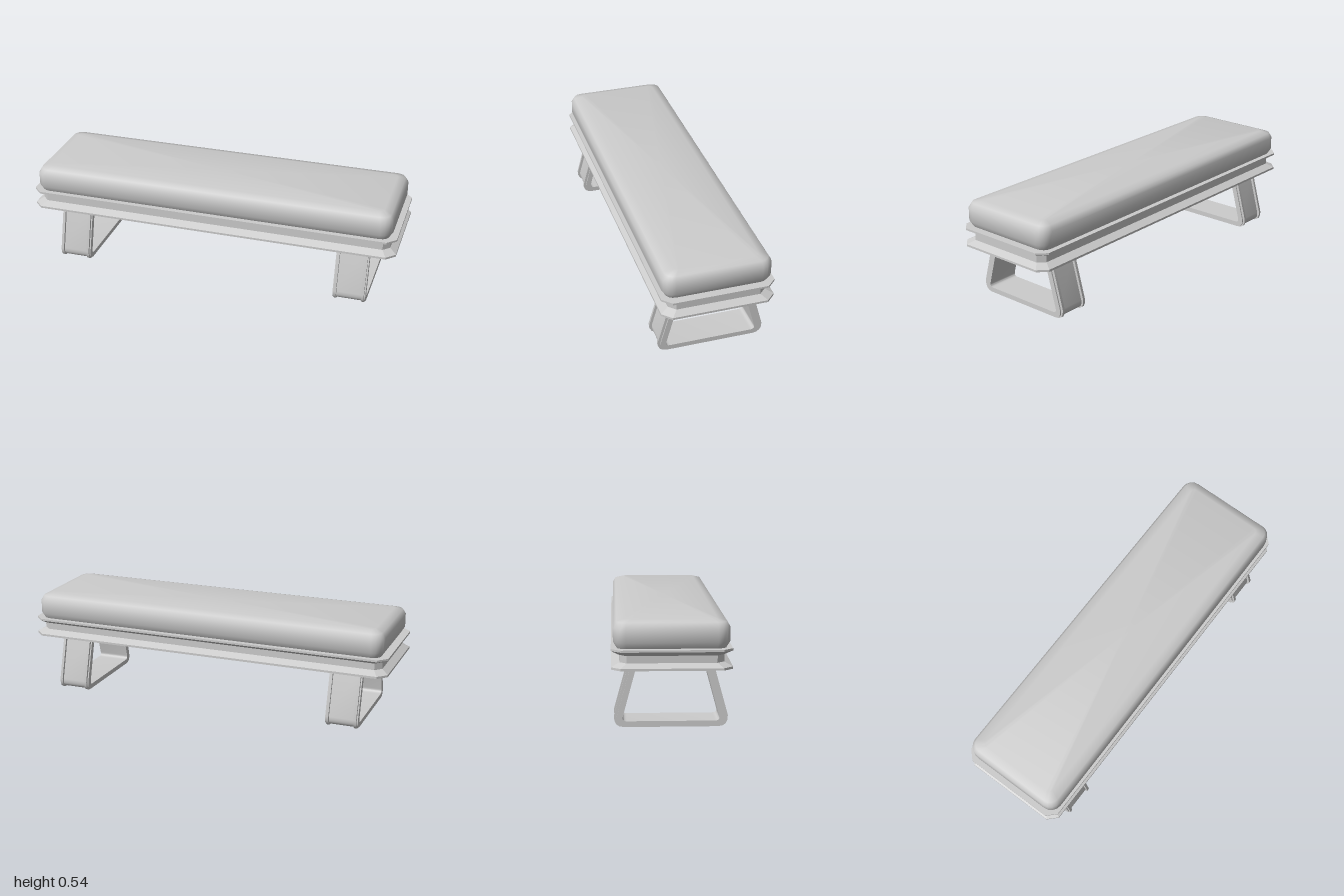
import * as THREE from 'three';
import { toCreasedNormals } from 'three/addons/utils/BufferGeometryUtils.js';

const material = new THREE.MeshStandardMaterial({ color: 0xcccccc });

function addMesh(parent, name, geometry) {
  const mesh = new THREE.Mesh(geometry, material);
  mesh.name = name;
  parent.add(mesh);
  return mesh;
}

// Stack of rounded rectangles; each level is [y, halfX, halfZ, cornerRadius]
function loftRectangles(levels, cornerSegments, crease) {
  const positions = [], index = [];
  const count = 4 * (cornerSegments + 1);
  for (const [y, hx, hz, r] of levels) {
    for (let corner = 0; corner < 4; corner++) {
      const sx = corner === 0 || corner === 3 ? 1 : -1;
      const sz = corner < 2 ? 1 : -1;
      for (let k = 0; k <= cornerSegments; k++) {
        const a = (corner + k / cornerSegments) * Math.PI / 2;
        positions.push(sx * (hx - r) + r * Math.cos(a), y, sz * (hz - r) + r * Math.sin(a));
      }
    }
  }
  const last = (levels.length - 1) * count;
  const bottom = levels.length * count, top = bottom + 1;
  positions.push(0, levels[0][0], 0, 0, levels[levels.length - 1][0], 0);
  for (let j = 0; j < count; j++) {
    const n = (j + 1) % count;
    for (let i = 0; i < last; i += count) {
      index.push(i + j, i + count + j, i + n, i + n, i + count + j, i + count + n);
    }
    index.push(bottom, j, n, top, last + n, last + j);
  }
  const geometry = new THREE.BufferGeometry();
  geometry.setAttribute('position', new THREE.Float32BufferAttribute(positions, 3));
  geometry.setIndex(index);
  return toCreasedNormals(geometry, crease);
}

// Half of a leg outline: straight side, rounded lower corner, flat foot
function legLine(topZ, sideZ, sideY, cornerZ, footZ, footY, segments) {
  const curve = new THREE.QuadraticBezierCurve(
    new THREE.Vector2(sideZ, sideY), new THREE.Vector2(cornerZ, footY), new THREE.Vector2(footZ, footY));
  return [new THREE.Vector2(topZ, 0.303), ...curve.getPoints(segments)];
}

// Open U profile between two outlines, extruded across x
function uBand(outer, inner, width) {
  const mirror = (points) => points.map((p) => new THREE.Vector2(-p.x, p.y)).reverse();
  const shape = new THREE.Shape([
    ...mirror(outer).reverse(), ...outer.slice().reverse(),
    ...inner, ...mirror(inner),
  ]);
  const geometry = new THREE.ExtrudeGeometry(shape, { depth: width, bevelEnabled: false });
  geometry.translate(0, 0, -width / 2);
  geometry.rotateY(-Math.PI / 2);
  return toCreasedNormals(geometry, 0.6);
}

export function createModel() {
  const bench = new THREE.Group();
  bench.name = 'bench';

  // Padded seat with softened edges
  addMesh(bench, 'cushion', loftRectangles([
    [0.40, 0.958, 0.26, 0.045],
    [0.43, 0.976, 0.278, 0.06],
    [0.497, 0.976, 0.278, 0.06],
    [0.525, 0.96, 0.262, 0.048],
    [0.537, 0.92, 0.217, 0.025],
  ], 4, 1.0));

  // Frame with a waist between two chamfered plates
  addMesh(bench, 'seatFrame', loftRectangles([
    [0.302, 1, 0.288, 0.046],
    [0.313, 1, 0.288, 0.046],
    [0.333, 0.965, 0.248, 0.034],
    [0.368, 0.965, 0.248, 0.034],
    [0.39, 1, 0.288, 0.046],
    [0.40, 1, 0.288, 0.046],
  ], 1, 0.3));

  // Sled legs: a wide bent band with a raised rib near each edge
  const bandOuter = legLine(0.193, 0.262, 0.052, 0.268, 0.222, 0.005, 8);
  const bandInner = legLine(0.165, 0.233, 0.052, 0.238, 0.212, 0.03, 6);
  const ribOuter = legLine(0.207, 0.275, 0.056, 0.279, 0.225, 0, 4);
  const ribInner = legLine(0.186, 0.255, 0.052, 0.261, 0.22, 0.01, 8);
  const bandGeometry = uBand(bandOuter, bandInner, 0.175);
  const ribGeometry = uBand(ribOuter, ribInner, 0.014);

  for (const side of [1, -1]) {
    const leg = new THREE.Group();
    leg.name = side > 0 ? 'leftLeg' : 'rightLeg';
    leg.position.x = side * 0.774;
    addMesh(leg, 'legBand', bandGeometry);
    for (const edge of [1, -1]) {
      addMesh(leg, 'legRib', ribGeometry).position.x = edge * 0.074;
    }
    bench.add(leg);
  }
  return bench;
}
